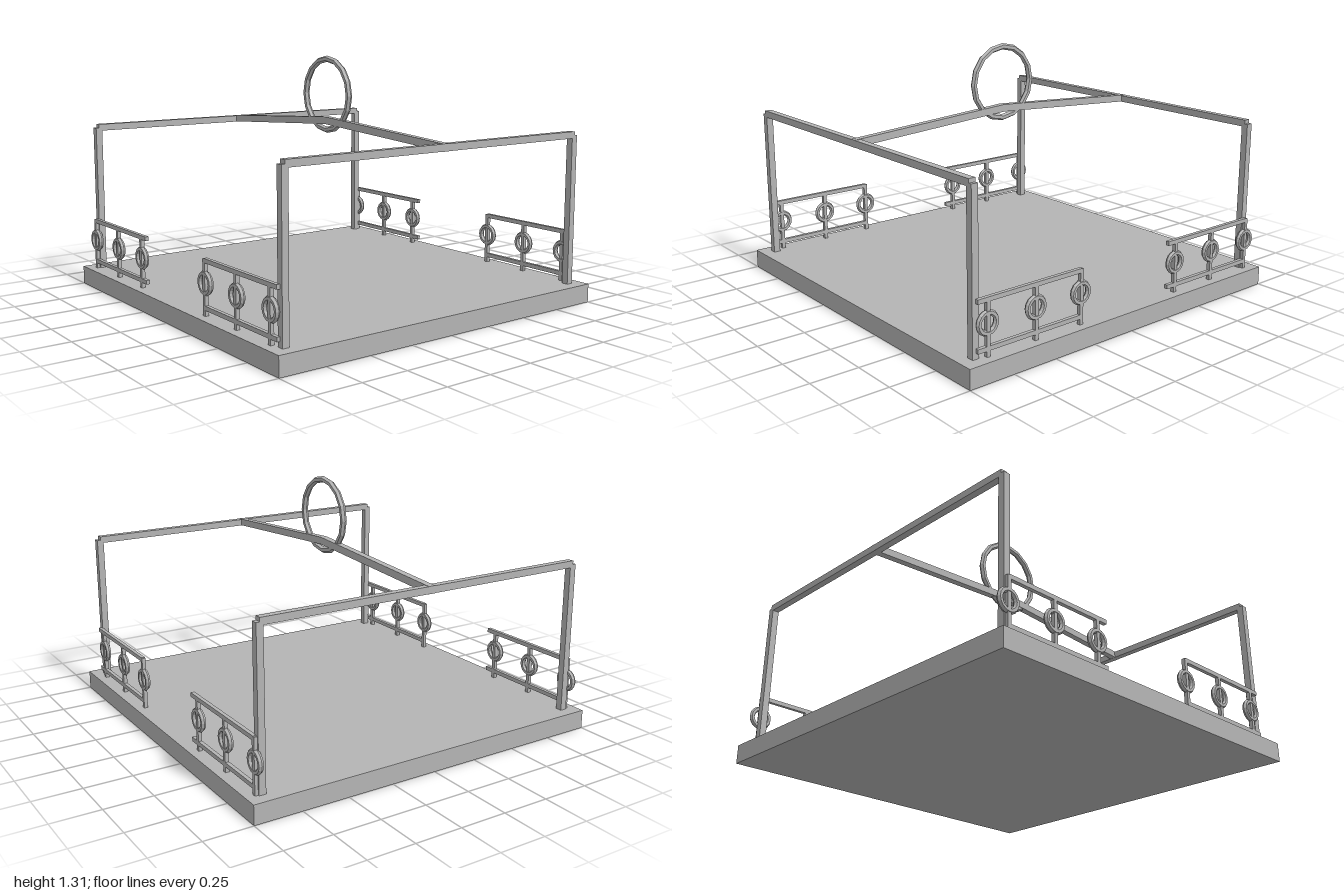
import * as THREE from 'three';

export function createModel() {
  const model = new THREE.Group();
  model.name = 'pavilionFrame';
  const grey = new THREE.MeshStandardMaterial({ color: 0xb4b4b4, flatShading: true });
  grey.name = 'grey';

  const add = (parent, name, geometry, x, y, z) => {
    const mesh = new THREE.Mesh(geometry, grey);
    mesh.name = name;
    mesh.position.set(x, y, z);
    parent.add(mesh);
    return mesh;
  };
  const box = (parent, name, w, h, d, x, y, z) =>
    add(parent, name, new THREE.BoxGeometry(w, h, d), x, y, z);

  // Floor slab
  box(model, 'floor', 2, 0.1, 2, 0, 0.05, 0);

  // Corner posts and the side beams joining them
  const T = 0.036;
  for (const sx of [-1, 1]) {
    for (const sz of [-1, 1]) box(model, 'post', T, 0.8, T, sx * 0.92, 0.5, sz * 0.92);
    box(model, 'sideBeam', T, T, 1.84, sx * 0.92, 0.902, 0);
  }

  // Cross beam rising gently to the middle
  const chevron = new THREE.Shape([
    [-0.938, 0.883], [0, 0.941], [0.938, 0.883],
    [0.938, 0.921], [0, 0.98], [-0.938, 0.921],
  ].map(([x, y]) => new THREE.Vector2(x, y)));
  const beam = new THREE.ExtrudeGeometry(chevron, { depth: T, bevelEnabled: false });
  add(model, 'crossBeam', beam, 0, 0, -T / 2);

  // Large ring standing on the cross beam
  add(model, 'topRing', new THREE.TorusGeometry(0.192, 0.017, 6, 16), 0, 1.1, 0);

  // Short railings at the four corners: two rails, three balusters with rings
  const ringGeometry = new THREE.TorusGeometry(0.049, 0.014, 6, 16);
  for (const z of [-0.945, 0.945]) {
    for (const start of [-0.92, 0.3]) {
      const railing = new THREE.Group();
      railing.name = 'railing';
      railing.position.set(start, 0, z);
      model.add(railing);
      for (const y of [0.14, 0.372]) box(railing, 'rail', 0.62, 0.022, 0.02, 0.31, y, 0);
      for (const x of [0, 0.28, 0.56]) {
        box(railing, 'baluster', 0.02, 0.28, 0.02, x, 0.24, 0);
        add(railing, 'railingRing', ringGeometry, x, 0.26, 0);
      }
    }
  }
  return model;
}
